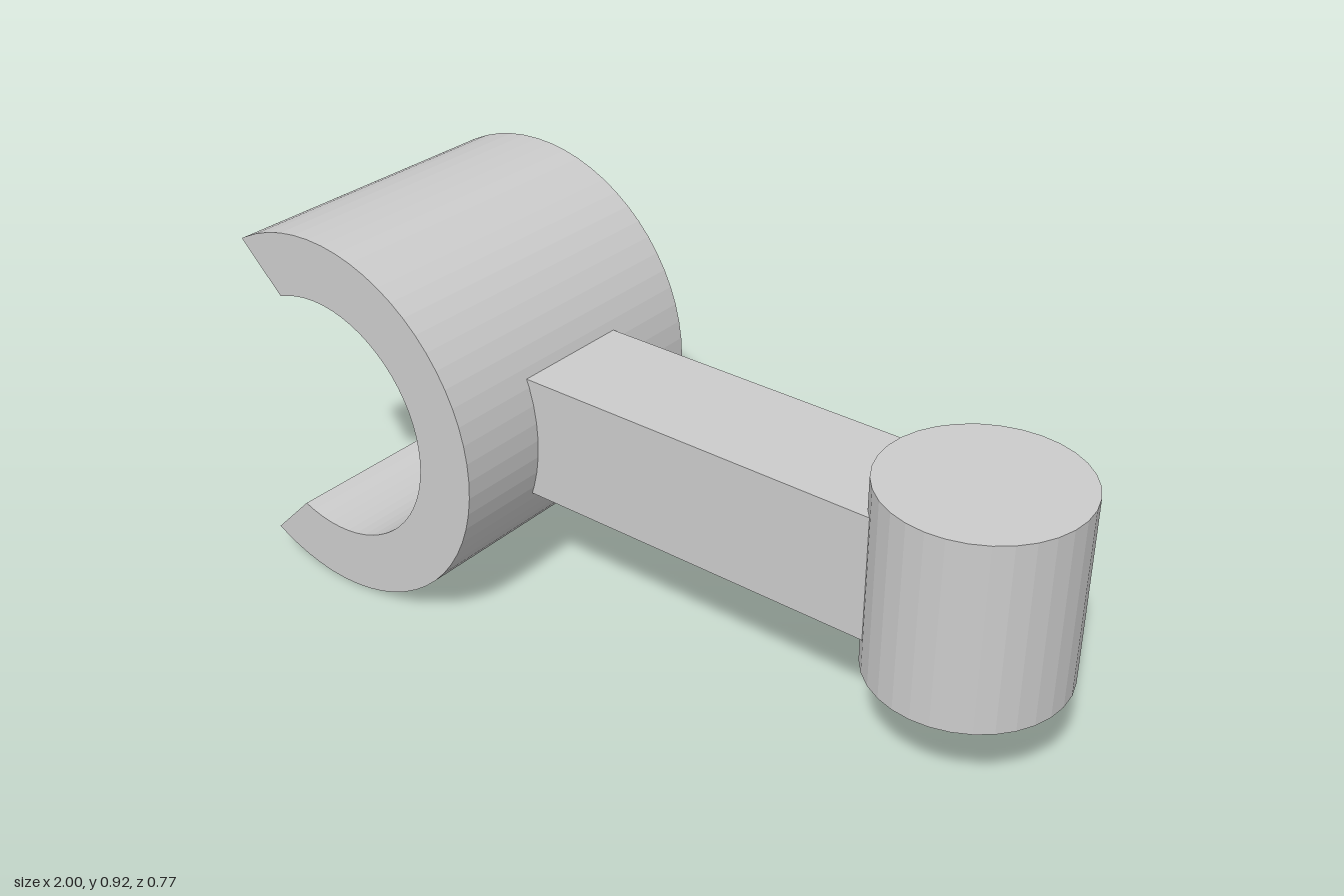
import * as THREE from 'three';

const U = 2 / 13; // base unit: every size is a multiple of it
const MID = 3 * U; // height of the centre line

const material = new THREE.MeshStandardMaterial({ color: 0xcccccc, flatShading: true });

function addPart(group, name, geometry, x, y, z) {
  const mesh = new THREE.Mesh(geometry, material);
  mesh.name = name;
  mesh.position.set(x, y, z);
  group.add(mesh);
}

// Points along an arc from -end to +end degrees, on a 64-sided circle
function arcPoints(radius, end) {
  const step = 360 / 64;
  const n = Math.floor(end / step);
  const angles = [-end];
  for (let i = -n; i <= n; i++) angles.push(i * step);
  angles.push(end);
  return angles.map((a) => {
    const t = THREE.MathUtils.degToRad(a);
    return new THREE.Vector2(radius * Math.cos(t), radius * Math.sin(t));
  });
}

export function createModel() {
  const group = new THREE.Group();
  group.name = 'clipConnector';

  // Open C-shaped clip; the inner arc ends earlier so the tips are cut at 45 degrees
  const outline = [...arcPoints(3 * U, 120), ...arcPoints(2 * U, 112.13).reverse()];
  const depth = 5 * U;
  const clip = new THREE.ExtrudeGeometry(new THREE.Shape(outline), { depth, bevelEnabled: false });
  addPart(group, 'clip', clip, -5 * U, MID, -depth / 2);

  // Square arm, its ends buried in the clip wall and the pin
  const start = -0.42, end = 5 * U;
  const arm = new THREE.BoxGeometry(end - start, 2 * U, 2 * U);
  addPart(group, 'arm', arm, (start + end) / 2, MID, 0);

  // Upright pin
  const pin = new THREE.CylinderGeometry(1.5 * U, 1.5 * U, 3 * U, 32);
  addPart(group, 'pin', pin, 5 * U, MID, 0);

  return group;
}
